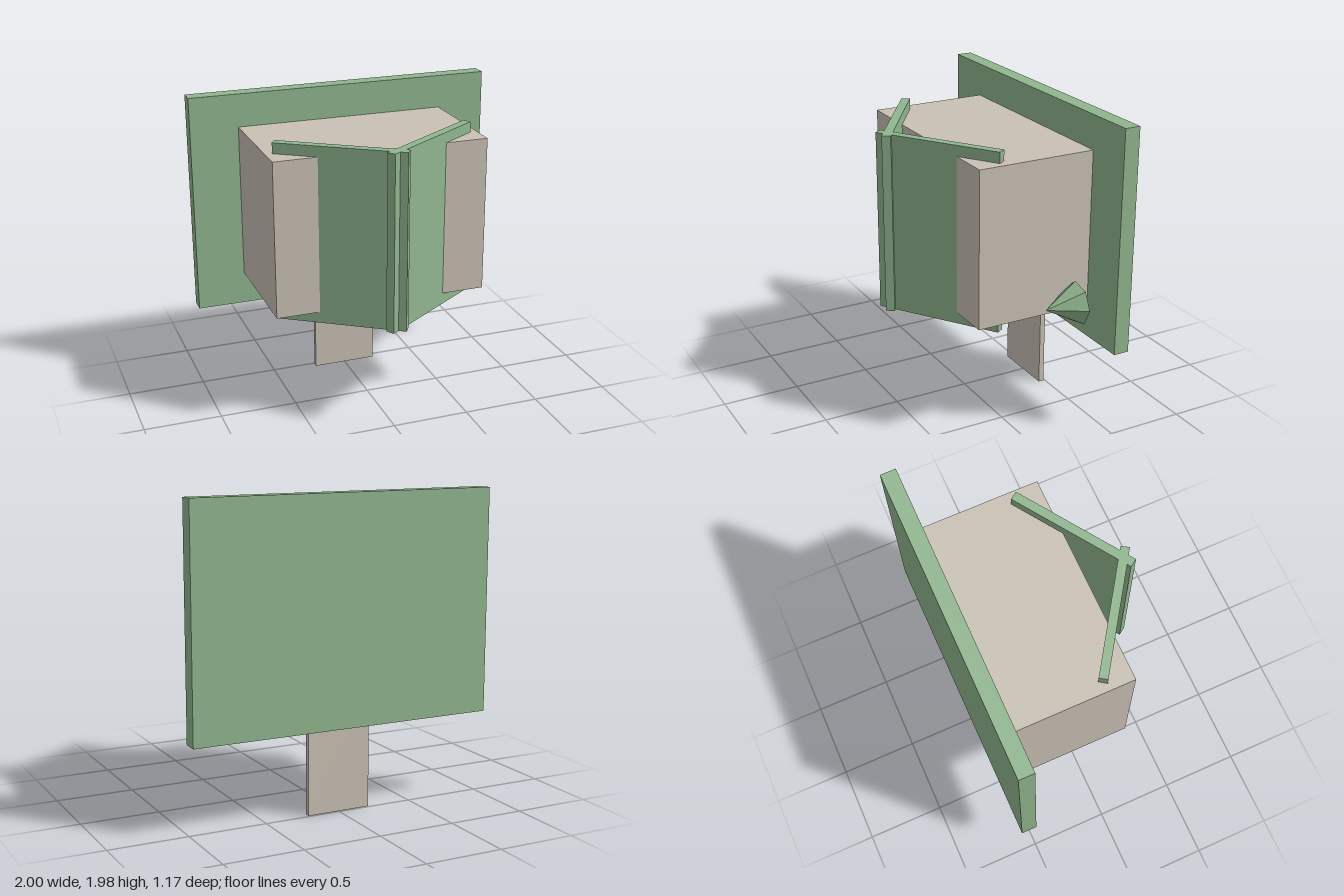
import * as THREE from 'three';

export function createModel() {
  const model = new THREE.Group();
  model.name = 'birdhouse';
  const paint = (name, color, extra = {}) => {
    const m = new THREE.MeshStandardMaterial({ color, ...extra });
    m.name = name;
    return m;
  };
  const green = paint('sage green', 0x91b68f, { flatShading: true });
  const beige = paint('warm beige', 0xc9c1b4);
  const brown = paint('wood brown', 0xb8916d);

  const add = (name, geometry, material) => {
    const mesh = new THREE.Mesh(geometry, material);
    mesh.name = name;
    model.add(mesh);
    return mesh;
  };
  // Box given by its minimum and maximum on each axis
  const box = (name, material, [x0, x1], [y0, y1], [z0, z1]) => {
    const mesh = add(name, new THREE.BoxGeometry(x1 - x0, y1 - y0, z1 - z0), material);
    mesh.position.set((x0 + x1) / 2, (y0 + y1) / 2, (z0 + z1) / 2);
    return mesh;
  };

  // Backboard, main body and hanging tab
  box('backBoard', green, [-1, 1], [0.55, 1.977], [-0.59, -0.49]);
  box('body', beige, [-0.688, 0.688], [0.762, 1.762], [-0.49, 0.275]);
  box('tab', beige, [-0.21, 0.21], [0, 0.763], [-0.49, -0.455]);

  // Two crossing panels forming the V-shaped front
  for (const side of [1, -1]) {
    const panel = add(side > 0 ? 'leftPanel' : 'rightPanel', new THREE.BoxGeometry(0.826, 1.14, 0.056), green);
    panel.position.set(side * 0.2855, 1.26, 0.326);
    panel.rotation.y = side * 0.593;
  }

  // Seven-sided cone beside the body, pointing forward
  const cone = add('cone', new THREE.ConeGeometry(0.137, 0.225, 7, 1, false, Math.PI / 2), green);
  cone.rotation.x = Math.PI / 2;
  cone.position.set(0.77, 0.832, -0.25);

  // Stepped square plate below the body
  box('squarePlate', beige, [0.27, 0.55], [0.72, 0.75], [-0.142, 0.138]);
  box('squarePlateInset', beige, [0.3, 0.52], [0.71, 0.72], [-0.112, 0.108]);

  // Wooden underside board
  box('lowerBoard', brown, [-0.125, 0.13], [0.727, 0.762], [-0.455, 0.03]);

  // Wooden plus-shaped piece
  const a = 0.155, w = 0.04;
  const plus = new THREE.Shape([
    [-w, -a], [w, -a], [w, -w], [a, -w], [a, w], [w, w],
    [w, a], [-w, a], [-w, w], [-a, w], [-a, -w], [-w, -w],
  ].map(([x, y]) => new THREE.Vector2(x, y)));
  const cross = add('cross', new THREE.ExtrudeGeometry(plus, { depth: 0.038, bevelEnabled: false }), brown);
  cross.rotation.x = Math.PI / 2;
  cross.position.set(0, 0.762, 0.2);

  return model;
}
